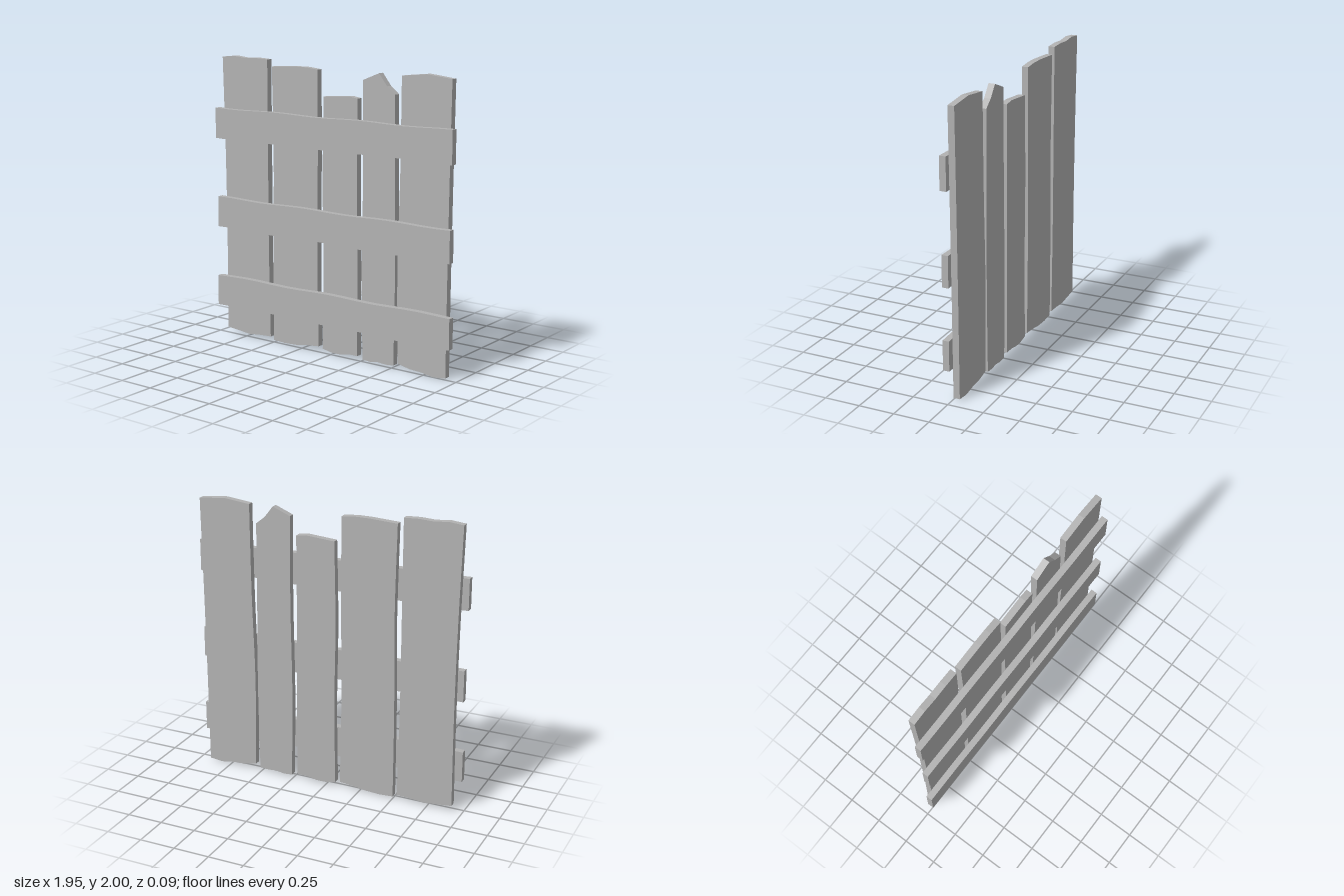
import * as THREE from 'three';

const THICK = 0.045;

// Each side lists x at even heights going up; each end lists y at even steps going right
const planks = [
  { left: [-0.925, -0.92, -0.925, -0.94], right: [-0.53, -0.54, -0.54, -0.54],
    bottom: [0.04, 0.03, 0.02, 0.03, 0.035], top: [1.99, 2, 1.99, 1.995, 1.99] },
  { left: [-0.5, -0.5, -0.49, -0.5], right: [-0.105, -0.115, -0.11, -0.11],
    bottom: [0.015, 0.01, 0.015, 0.03, 0.04], top: [1.945, 1.95, 1.955, 1.955, 1.945] },
  { left: [-0.07, -0.062, -0.07, -0.06], right: [0.22, 0.22, 0.215, 0.215],
    bottom: [0.03, 0.015, 0.015, 0.03, 0.03], top: [1.77, 1.775, 1.78, 1.785, 1.775] },
  { left: [0.265, 0.255, 0.263, 0.26], right: [0.515, 0.522, 0.515, 0.51],
    bottom: [0.015, 0.01, 0.02, 0.015, 0.02], top: [1.9, 1.925, 1.95, 1.87, 1.82] },
  { left: [0.55, 0.54, 0.555, 0.56], right: [0.92, 0.922, 0.927, 0.935],
    bottom: [0.04, 0.02, 0.015, 0, 0.01], top: [1.945, 1.955, 1.965, 1.955, 1.945] },
];

const rails = [
  { left: -0.975, right: 0.97, bottom: 0.214, top: 0.429 },
  { left: -0.963, right: 0.963, bottom: 0.784, top: 1.0 },
  { left: -0.975, right: 0.97, bottom: 1.418, top: 1.634 },
];

const point = (x, y) => new THREE.Vector2(x, y);
const { lerp } = THREE.MathUtils;

// Gently curved side running from y0 up to y1
const sideEdge = (xs, y0, y1) =>
  new THREE.SplineCurve(xs.map((x, i) => point(x, lerp(y0, y1, i / (xs.length - 1))))).getPoints(12);

// Roughly cut end running from x0 to x1, without its two corners
const cutEnd = (ys, x0, x1) =>
  ys.map((y, i) => point(lerp(x0, x1, i / (ys.length - 1)), y)).slice(1, -1);

function plankOutline({ left, right, bottom, top }) {
  return [
    ...sideEdge(left, bottom[0], top[0]),
    ...cutEnd(top, left.at(-1), right.at(-1)),
    ...sideEdge(right, bottom.at(-1), top.at(-1)).reverse(),
    ...cutEnd(bottom, left[0], right[0]).reverse(),
  ];
}

// Long straight board with slightly uneven upper and lower edges
function railOutline({ left, right, bottom, top }, phase) {
  const upper = [];
  const lower = [];
  for (let i = 0; i <= 16; i++) {
    const x = lerp(left, right, i / 16);
    upper.push(point(x, top + 0.004 * Math.cos(x * 9 + phase)));
    lower.push(point(x, bottom + 0.004 * Math.sin(x * 8 + phase)));
  }
  return [...upper, ...lower.reverse()];
}

export function createModel() {
  const group = new THREE.Group();
  const wood = new THREE.MeshStandardMaterial({ color: 0xb2b2b2 });
  wood.name = 'grey wood';

  // Cuts a flat board of even thickness, with its back face at z
  const addBoard = (name, outline, z) => {
    const geometry = new THREE.ExtrudeGeometry(new THREE.Shape(outline), { depth: THICK, bevelEnabled: false });
    const board = new THREE.Mesh(geometry, wood);
    board.name = name;
    board.position.z = z;
    group.add(board);
  };

  // Upright planks behind, cross rails in front
  planks.forEach((plank, i) => addBoard(`plank${i + 1}`, plankOutline(plank), -THICK));
  rails.forEach((rail, i) => addBoard(`rail${i + 1}`, railOutline(rail, i * 2), 0));

  return group;
}
